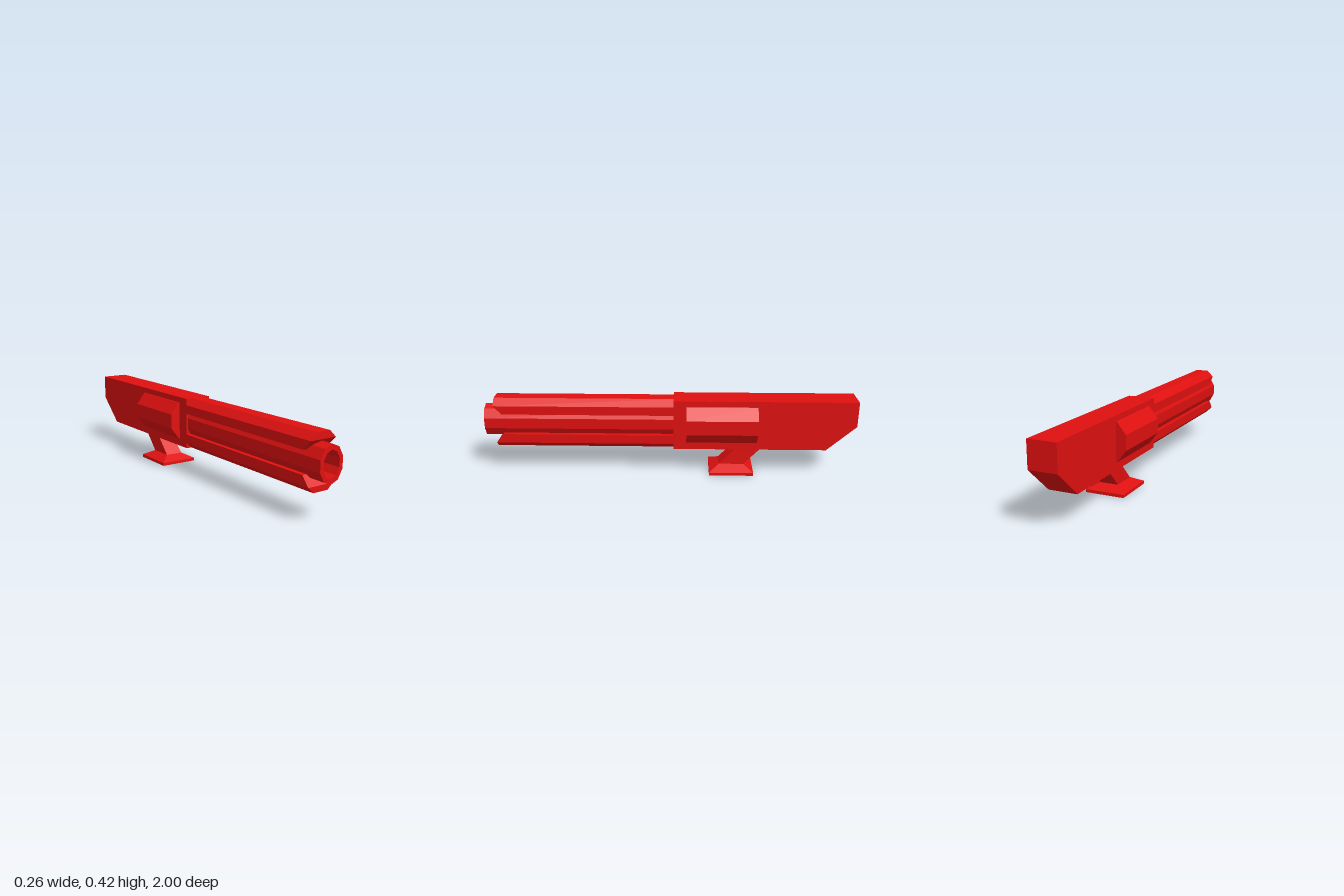
import * as THREE from 'three';

const red = new THREE.MeshStandardMaterial({ color: 0xe01010, flatShading: true });

// Solid made of stacked rectangles, bottom to top: [y, half width in x, back z, front z]
function stack(name, levels) {
  const pos = [];
  const rings = levels.map(([y, w, z0, z1]) => [[-w, y, z1], [w, y, z1], [w, y, z0], [-w, y, z0]]);
  const quad = (a, b, c, d) => pos.push(...a, ...b, ...c, ...a, ...c, ...d);
  for (let i = 0; i < rings.length - 1; i++) {
    const lo = rings[i], hi = rings[i + 1];
    for (let k = 0; k < 4; k++) {
      const n = (k + 1) % 4;
      quad(lo[k], lo[n], hi[n], hi[k]);
    }
  }
  quad(...rings[rings.length - 1]);
  quad(...[...rings[0]].reverse());
  const geo = new THREE.BufferGeometry();
  geo.setAttribute('position', new THREE.Float32BufferAttribute(pos, 3));
  geo.computeVertexNormals();
  const mesh = new THREE.Mesh(geo, red);
  mesh.name = name;
  return mesh;
}

// Ten-sided oval with a point at the top
function decagon(rx, ry) {
  return Array.from({ length: 10 }, (_, i) => {
    const a = Math.PI / 2 + (i * Math.PI) / 5;
    return new THREE.Vector2(rx * Math.cos(a), ry * Math.sin(a));
  });
}

export function createModel() {
  const model = new THREE.Group();
  model.name = 'blaster';

  // Main housing with the lower rear corner cut off
  model.add(stack('body', [
    [0.143, 0.074, -0.845, -0.02],
    [0.28, 0.074, -1, -0.02],
    [0.417, 0.074, -1, -0.02],
  ]));

  // Hollow barrel
  const ring = new THREE.Shape(decagon(0.07, 0.092));
  ring.holes.push(new THREE.Path(decagon(0.05, 0.066)));
  const barrelGeo = new THREE.ExtrudeGeometry(ring, { depth: 1.02, bevelEnabled: false });
  const barrel = new THREE.Mesh(barrelGeo, red);
  barrel.name = 'barrel';
  barrel.position.set(0, 0.281, -0.02);
  model.add(barrel);

  // Chamfered rails above and below the barrel, with slanted front ends
  model.add(stack('topRail', [
    [0.335, 0.074, -0.03, 0.9],
    [0.382, 0.074, -0.03, 0.945],
    [0.417, 0.037, -0.03, 0.945],
  ]));
  model.add(stack('bottomRail', [
    [0.143, 0.043, -0.03, 0.94],
    [0.172, 0.074, -0.03, 0.94],
    [0.221, 0.074, -0.03, 0.9],
  ]));

  // Bevelled pods on both sides, passing through the body
  model.add(stack('sidePods', [
    [0.184, 0.079, -0.47, -0.09],
    [0.247, 0.128, -0.47, -0.09],
    [0.325, 0.128, -0.47, -0.09],
    [0.387, 0.079, -0.47, -0.09],
  ]));

  // Slanted post on a flared foot
  model.add(stack('mountPost', [
    [0.04, 0.049, -0.4, -0.265],
    [0.15, 0.047, -0.507, -0.372],
  ]));
  model.add(stack('mountFoot', [
    [0, 0.105, -0.457, -0.216],
    [0.016, 0.105, -0.457, -0.216],
    [0.045, 0.049, -0.405, -0.27],
  ]));

  return model;
}
